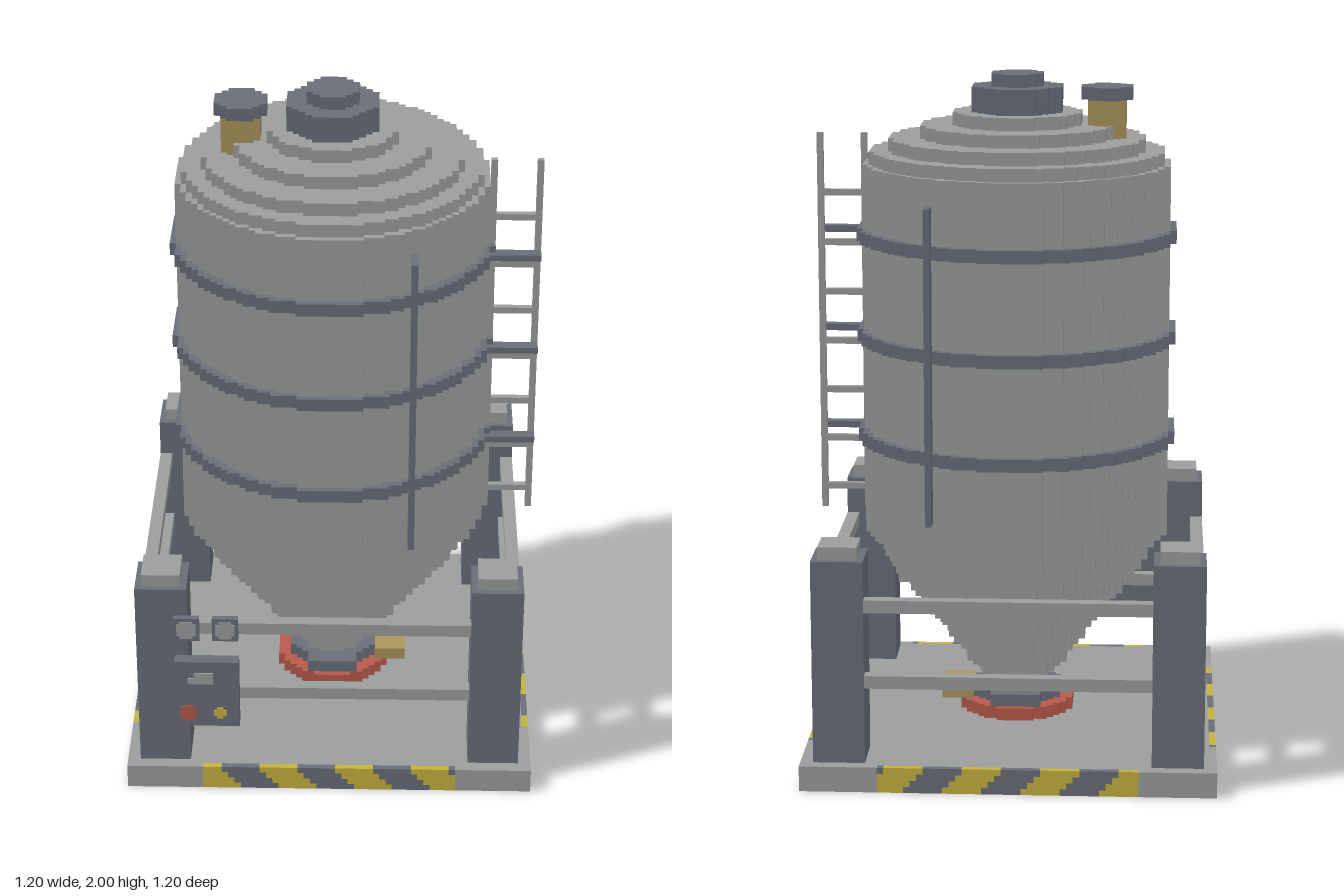
import * as THREE from 'three';
import { mergeGeometries } from 'three/addons/utils/BufferGeometryUtils.js';

// All sizes are in whole blocks; 107 blocks make the full height.
const BLOCK = 2 / 107;

const mat = (name, color) => {
  const m = new THREE.MeshStandardMaterial({ color });
  m.name = name;
  return m;
};

// Box between two corners.
function box(x0, x1, y0, y1, z0, z1) {
  return new THREE.BoxGeometry(x1 - x0, y1 - y0, z1 - z0)
    .translate((x0 + x1) / 2, (y0 + y1) / 2, (z0 + z1) / 2);
}

// Upright disc with a stair-stepped blocky outline.
function disc(r, y0, y1, cx = 0) {
  const quarter = [];
  for (let j = 0; j < r; j++) {
    let w = 0;
    while ((w + 0.5) ** 2 + (j + 0.5) ** 2 <= r * r) w++;
    if (w > 0) quarter.push([w, j], [w, j + 1]);
  }
  const flipped = [...quarter].reverse();
  const outline = [
    ...quarter,
    ...flipped.map(([x, y]) => [-x, y]),
    ...quarter.map(([x, y]) => [-x, -y]),
    ...flipped.map(([x, y]) => [x, -y]),
  ].map(([x, y]) => new THREE.Vector2(x, y))
    .filter((p, i, a) => i === 0 || !p.equals(a[i - 1]));
  return new THREE.ExtrudeGeometry(new THREE.Shape(outline), { depth: y1 - y0, bevelEnabled: false })
    .rotateX(-Math.PI / 2).translate(cx, y0, 0);
}

export function createModel() {
  const grey = mat('light grey steel', 0x9a9e9d);
  const dark = mat('dark slate steel', 0x6a6e78);
  const yellow = mat('warning yellow', 0xc6b23e);
  const brass = mat('brass', 0xaa955c);
  const red = mat('red', 0xb85a4b);

  const model = new THREE.Group();
  model.name = 'silo';
  const blocks = new THREE.Group();
  blocks.name = 'siloParts';
  blocks.scale.setScalar(BLOCK);
  model.add(blocks);

  const add = (name, material, ...geos) => {
    const mesh = new THREE.Mesh(geos.length > 1 ? mergeGeometries(geos) : geos[0], material);
    mesh.name = name;
    blocks.add(mesh);
  };

  // Base slab, with a one-block rim of slanted hazard stripes
  const rim = { grey: [], yellow: [], dark: [] };
  const rimPiece = (list, a0, a1, y0, y1) => {
    for (const s of [-1, 1]) {
      const [n, f] = s > 0 ? [31, 32] : [-32, -31];
      list.push(box(a0, a1, y0, y1, n, f));
      const b0 = Math.max(-a1, -31), b1 = Math.min(-a0, 31);
      list.push(box(n, f, y0, y1, b0, b1));
    }
  };
  rimPiece(rim.grey, -32, -20, 0, 4);
  rimPiece(rim.grey, 20, 32, 0, 4);
  for (let row = 0; row < 4; row++) {
    for (let k = -1; k < 8; k++) {
      const start = -23 + 6 * k + (3 - row);
      const a0 = Math.max(start, -20), a1 = Math.min(start + 6, 20);
      if (a1 > a0) rimPiece(k % 2 ? rim.dark : rim.yellow, a0, a1, row, row + 1);
    }
  }
  add('baseSlab', grey, box(-31, 31, 0, 4, -31, 31), ...rim.grey);
  add('yellowStripes', yellow, ...rim.yellow);
  add('darkStripes', dark, ...rim.dark);

  // Corner legs with caps
  for (const sx of [-1, 1]) for (const sz of [-1, 1]) {
    const x = 26 * sx, z = 26 * sz;
    add('leg', dark, box(x - 4, x + 4, 4, 36, z - 4, z + 4));
    add('legCap', grey, box(x - 3, x + 3, 36, 38, z - 3, z + 3));
  }

  // Cross rails between the legs
  for (const y of [16, 28]) for (const [n, f] of [[28, 30], [-30, -28]]) {
    add('crossRail', grey, box(-22, 22, y, y + 2, n, f));
    add('sideRail', grey, box(n, f, y, y + 2, -22, 22));
  }

  // Outlet flange, valve and its slide handle
  add('outletFlange', red, disc(9, 4, 6));
  add('outletValve', dark, disc(7, 6, 8), box(-4, 4, 6, 8, -8, 8).toNonIndexed());
  add('slideHandle', brass, box(7, 12, 6, 8, -4, 4));

  // Stepped hopper, body and stepped roof
  for (let k = 0; k < 14; k++) add('hopperStep', grey, disc(Math.round(5 + k * 1.45), 8 + 2 * k, 10 + 2 * k));
  add('tankBody', grey, disc(24, 36, 93));
  [23, 20, 15, 10].forEach((r, i) => add('roofStep', grey, disc(r, 93 + 2 * i, 95 + 2 * i)));
  add('roofHatch', dark, disc(7, 101, 105));
  add('hatchKnob', dark, disc(4, 105, 107));

  // Vent pipe
  add('ventPipe', brass, disc(3, 95, 103, -14));
  add('ventCap', dark, disc(4, 103, 105, -14));

  // Hoops and ladder stays
  for (const y of [49, 65, 81]) {
    add('hoop', dark, disc(25, y, y + 2));
    add('ladderStay', dark, box(24, 32, y, y + 1, 4, 6));
  }

  // Vertical fins front and back
  add('frontFin', dark, box(12, 13, 40, 89, 18, 24));
  add('backFin', dark, box(12, 13, 40, 89, -24, -18));

  // Ladder on the left side
  for (const x of [24, 31]) add('ladderRail', grey, box(x, x + 1, 36, 97, 3, 4));
  for (let y = 39; y < 90; y += 8) add('ladderRung', grey, box(25, 31, y, y + 1, 3, 4));

  // Control panel with display, button and switch
  add('controlPanel', dark, box(-24, -14, 12, 24, 30, 32));
  add('panelDisplay', grey, box(-22, -18, 20, 21, 32, 32.2), box(-21, -18, 21, 22, 32, 32.2));
  add('panelButton', red, new THREE.CylinderGeometry(1.5, 1.5, 0.2, 8).rotateX(Math.PI / 2).translate(-22, 14.5, 32.1));
  add('panelSwitch', yellow, box(-18, -16, 14, 15, 32, 32.2), box(-17.5, -16.5, 13.5, 15.5, 32, 32.2));

  // Twin gauges above the panel
  for (const x of [-22, -16]) {
    add('gauge', dark, box(x - 2, x + 2, 28, 32, 31, 32));
    add('gaugeFace', grey, box(x - 1.5, x + 1.5, 29, 31, 32, 32.2), box(x - 1, x + 1, 28.5, 31.5, 32, 32.2));
  }

  return model;
}
